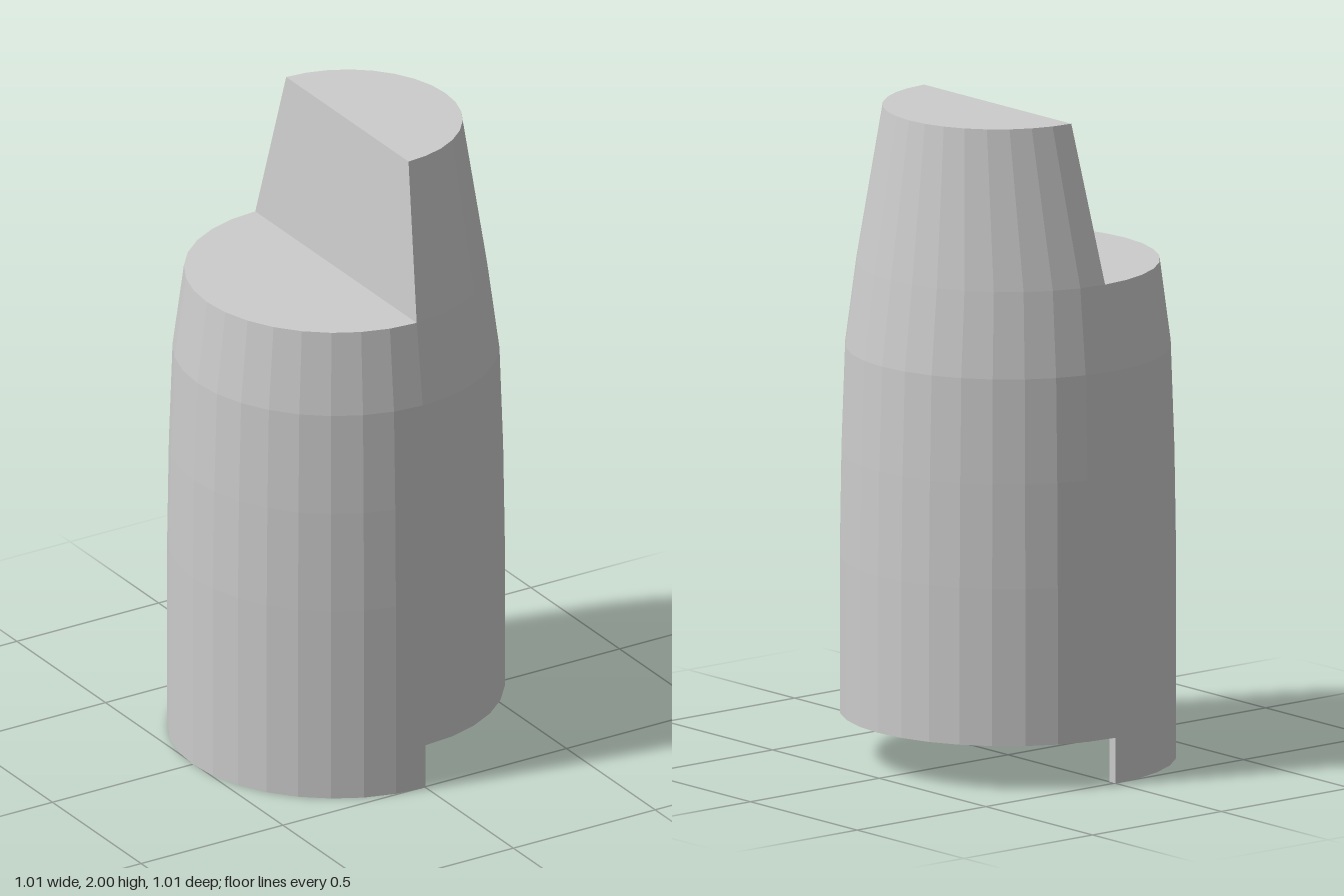
import * as THREE from 'three';

const material = new THREE.MeshStandardMaterial({ color: 0xcccccc, flatShading: true });

// Half turn of a profile given as [radius, y], bottom to top
function halfTurn(profile, start) {
  const points = profile.map(([r, y]) => new THREE.Vector2(r, y));
  return new THREE.LatheGeometry(points, 16, start, Math.PI);
}

// Flat four-cornered face, corners counterclockwise from its front
function quad(a, b, c, d) {
  const geometry = new THREE.BufferGeometry();
  geometry.setAttribute('position', new THREE.Float32BufferAttribute([...a, ...b, ...c, ...d], 3));
  geometry.setIndex([0, 1, 2, 0, 2, 3]);
  geometry.computeVertexNormals();
  return geometry;
}

export function createModel() {
  const group = new THREE.Group();
  const add = (name, geometry) => {
    const mesh = new THREE.Mesh(geometry, material);
    mesh.name = name;
    group.add(mesh);
  };

  const floor = 0.14, shelf = 1.52, top = 2;
  const outer = 0.505, inner = 0.475, shoulder = 0.455, tip = 0.345, lean = 0.04;
  const side = [[outer, 0.62], [0.5, 0.94], [0.489, 1.26], [shoulder, shelf]];

  // Body: left half above the recess, right half with skirt and flat shelf
  add('bodyLeftHalf', halfTurn([[0, floor], [outer, floor], ...side], 0));
  add('bodyRightHalfWithSkirt', halfTurn(
    [[0, floor], [inner, floor], [inner, 0], [outer, 0], [outer, floor], ...side, [0, shelf]], Math.PI));

  // Cut ends of the skirt
  for (const [name, z0, z1] of [['skirtEndFront', inner, outer], ['skirtEndBack', -outer, -inner]]) {
    add(name, quad([0, 0, z0], [0, floor, z0], [0, floor, z1], [0, 0, z1]));
  }

  // Tapered upper half, leaning outwards
  const tower = halfTurn([[shoulder, shelf], [tip, top], [0, top]], 0);
  const pos = tower.attributes.position;
  for (let i = 0; i < pos.count; i++) {
    pos.setX(i, pos.getX(i) + lean * (pos.getY(i) - shelf) / (top - shelf));
  }
  tower.computeVertexNormals();
  add('tower', tower);
  add('towerFlatFace', quad([0, shelf, -shoulder], [0, shelf, shoulder], [lean, top, tip], [lean, top, -tip]));

  return group;
}
